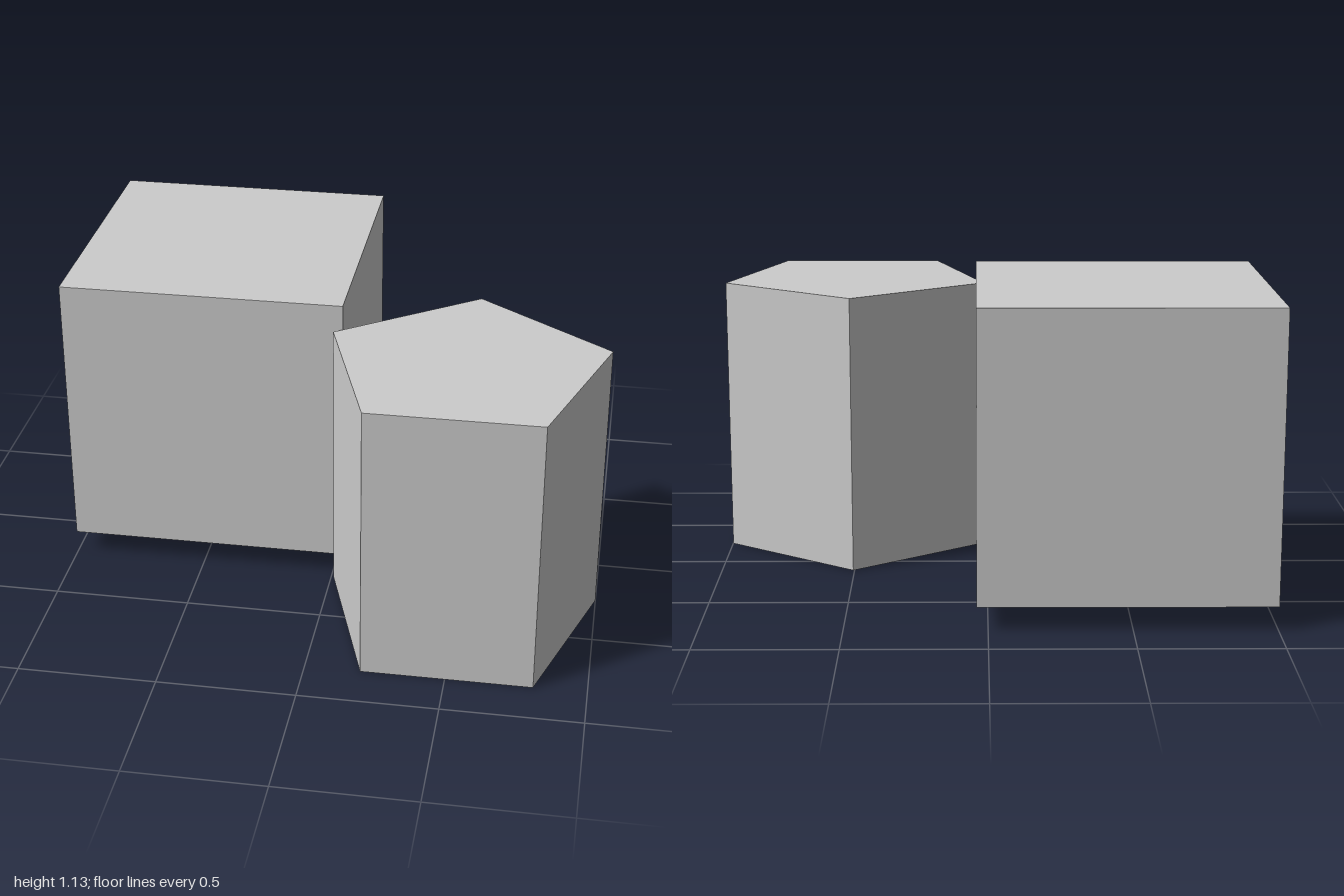
import * as THREE from 'three';

export function createModel() {
  const size = 1.04; // shared edge length, height and pentagon diameter
  const material = new THREE.MeshStandardMaterial({ color: 0xcccccc, flatShading: true });
  const group = new THREE.Group();

  const addPart = (name, geometry, x, y, z) => {
    const mesh = new THREE.Mesh(geometry, material);
    mesh.name = name;
    mesh.position.set(x, y, z);
    group.add(mesh);
  };

  // Raised cube at the back right
  addPart('cube', new THREE.BoxGeometry(size, size, size), -0.48, 0.608, -0.306);

  // Five-sided prism at the front left, one corner pointing back
  const prism = new THREE.CylinderGeometry(size / 2, size / 2, size, 5, 1, false, Math.PI);
  addPart('pentagonalPrism', prism, 0.505, size / 2, 0.405);

  return group;
}
